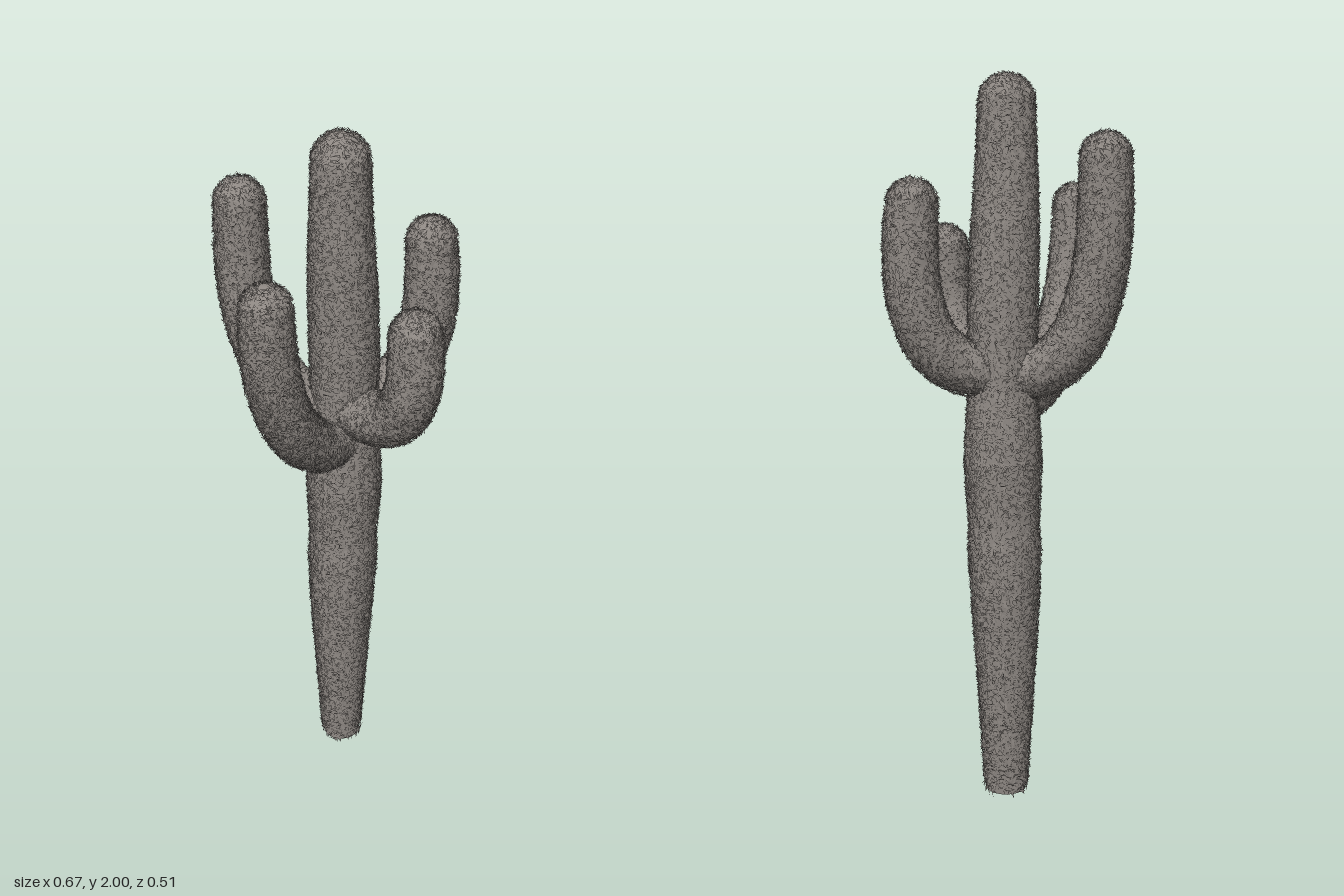
import * as THREE from 'three';

const SIDES = 20;

// Small seeded generator so that the spines are the same every time
function makeRandom(seed) {
  return () => {
    seed = (seed * 1664525 + 1013904223) % 4294967296;
    return seed / 4294967296;
  };
}

// Straight-line lookup in a list of [position, value] pairs
function lookup(pairs, t) {
  for (let i = 1; i < pairs.length; i++) {
    const [t0, v0] = pairs[i - 1], [t1, v1] = pairs[i];
    if (t <= t1) return v0 + (v1 - v0) * (t - t0) / (t1 - t0);
  }
  return pairs[pairs.length - 1][1];
}

// A stem follows a path, with a radius profile and a domed tip
function makeStem(points, profile) {
  const curve = new THREE.CatmullRomCurve3(points.map(p => new THREE.Vector3(...p)));
  const length = curve.getLength();
  const steps = 200;
  const frames = curve.computeFrenetFrames(steps, false);
  const tip = lookup(profile, 1);
  const radiusAt = s => {
    const d = (s - (length - tip)) / tip;
    return lookup(profile, s / length) * (d > 0 ? Math.sqrt(Math.max(0, 1 - d * d)) : 1);
  };
  const pointAt = (s, angle) => {
    const u = THREE.MathUtils.clamp(s / length, 0, 1);
    const k = Math.round(u * steps), r = radiusAt(u * length);
    return curve.getPointAt(u)
      .addScaledVector(frames.normals[k], Math.cos(angle) * r)
      .addScaledVector(frames.binormals[k], Math.sin(angle) * r);
  };
  return { length, tip, pointAt };
}

// Smooth skin made from rings, closer together over the dome
function skinGeometry({ length, tip, pointAt }) {
  const stations = [];
  const body = length - tip;
  const count = Math.ceil(body / 0.04);
  for (let i = 0; i < count; i++) stations.push(body * i / count);
  for (let i = 0; i <= 8; i++) stations.push(body + tip * Math.sin(i / 8 * Math.PI / 2));
  const positions = [], index = [];
  stations.forEach((s, i) => {
    for (let j = 0; j < SIDES; j++) {
      positions.push(...pointAt(s, j / SIDES * Math.PI * 2).toArray());
      if (i === stations.length - 1) continue;
      const a = i * SIDES + j, b = i * SIDES + (j + 1) % SIDES;
      index.push(a, b, a + SIDES, b, b + SIDES, a + SIDES);
    }
  });
  const geometry = new THREE.BufferGeometry();
  geometry.setAttribute('position', new THREE.Float32BufferAttribute(positions, 3));
  geometry.setIndex(index);
  geometry.computeVertexNormals();
  return geometry;
}

// Flat spines lying close to the skin, pointing every way with slightly lifted tips
function spineGeometry({ length, pointAt }, count, random) {
  const positions = [];
  for (let i = 0; i < count; i++) {
    const s = 0.008 + random() * (length - 0.01);
    const angle = random() * Math.PI * 2;
    const base = pointAt(s, angle);
    const along = pointAt(s + 0.001, angle).sub(pointAt(s - 0.001, angle)).normalize();
    const around = pointAt(s, angle + 0.05).sub(pointAt(s, angle - 0.05)).normalize();
    const out = around.clone().cross(along).normalize();
    const turn = random() * Math.PI * 2;
    const forward = along.multiplyScalar(Math.cos(turn)).addScaledVector(around, Math.sin(turn));
    const side = out.clone().cross(forward);
    const size = 0.018 + random() * 0.012;
    const width = 0.003 + random() * 0.002;
    base.addScaledVector(out, 0.001 + random() * 0.002);
    const point = base.clone().addScaledVector(forward, size)
      .addScaledVector(out, 0.001 + random() * 0.004);
    point.y = Math.max(0, point.y);
    // Corners run so that the outer face of the spine is its front
    positions.push(
      ...base.clone().addScaledVector(side, -width).toArray(),
      ...point.toArray(),
      ...base.clone().addScaledVector(side, width).toArray());
    const n = positions.length;
    const a = positions.slice(n - 9, n - 6), c = positions.slice(n - 3);
    const edge = point.clone().sub(new THREE.Vector3(...a));
    if (edge.cross(new THREE.Vector3(...c).sub(new THREE.Vector3(...a))).dot(out) < 0) {
      positions.splice(n - 9, 9, ...c, ...point.toArray(), ...a);
    }
  }
  const geometry = new THREE.BufferGeometry();
  geometry.setAttribute('position', new THREE.Float32BufferAttribute(positions, 3));
  geometry.computeVertexNormals();
  return geometry;
}

export function createModel() {
  const model = new THREE.Group();
  model.name = 'cactus';
  const random = makeRandom(7);

  const skin = new THREE.MeshStandardMaterial({ color: 0x8e8883 });
  skin.name = 'grey skin';
  const spine = new THREE.MeshStandardMaterial({ color: 0x8e8883, side: THREE.DoubleSide });
  spine.name = 'grey spines';
  const core = new THREE.MeshStandardMaterial({ color: 0xe0d640 });
  core.name = 'yellow core';

  function addStem(name, points, profile, spineCount) {
    const stem = makeStem(points, profile);
    const group = new THREE.Group();
    group.name = name;
    const skinMesh = new THREE.Mesh(skinGeometry(stem), skin);
    skinMesh.name = name + 'Skin';
    const spineMesh = new THREE.Mesh(spineGeometry(stem, spineCount, random), spine);
    spineMesh.name = name + 'Spines';
    group.add(skinMesh, spineMesh);
    model.add(group);
  }

  // Trunk, narrow at the foot with gentle bulges
  addStem('trunk',
    [[0.002, 0.012, -0.083], [0.003, 0.5, -0.084], [0.01, 0.95, -0.088], [0.01, 1.4, -0.086], [0.002, 1.7, -0.077], [0, 1.994, -0.073]],
    [[0, 0.056], [0.15, 0.075], [0.3, 0.094], [0.36, 0.098], [0.39, 0.094], [0.48, 0.104],
      [0.54, 0.097], [0.58, 0.09], [0.7, 0.092], [0.8, 0.088], [0.9, 0.077], [1, 0.07]],
    17000);

  // Four arms curving out and up
  const armProfile = [[0, 0.068], [0.3, 0.072], [0.75, 0.069], [1, 0.063]];
  const arms = {
    frontRightArm: [[0, 1.125, -0.07], [-0.07, 1.15, 0.02], [-0.14, 1.26, 0.105], [-0.185, 1.42, 0.16], [-0.2, 1.58, 0.177], [-0.197, 1.709, 0.178]],
    frontLeftArm: [[0.01, 1.235, -0.08], [0.07, 1.222, -0.01], [0.135, 1.26, 0.07], [0.172, 1.365, 0.12], [0.178, 1.48, 0.125], [0.172, 1.596, 0.12]],
    backLeftArm: [[0.01, 1.225, -0.09], [0.1, 1.222, -0.115], [0.188, 1.28, -0.145], [0.24, 1.4, -0.165], [0.252, 1.54, -0.167], [0.243, 1.725, -0.163]],
    backRightArm: [[0, 1.215, -0.09], [-0.08, 1.215, -0.112], [-0.165, 1.275, -0.143], [-0.22, 1.39, -0.166], [-0.25, 1.55, -0.175], [-0.255, 1.843, -0.178]],
  };
  for (const [name, points] of Object.entries(arms)) addStem(name, points, armProfile, 5500);

  // Cut end under the trunk
  const cut = new THREE.Mesh(new THREE.CircleGeometry(0.056, SIDES), core);
  cut.name = 'trunkCutEnd';
  cut.rotation.x = Math.PI / 2;
  cut.position.set(0.002, 0.012, -0.083);
  model.add(cut);

  return model;
}
